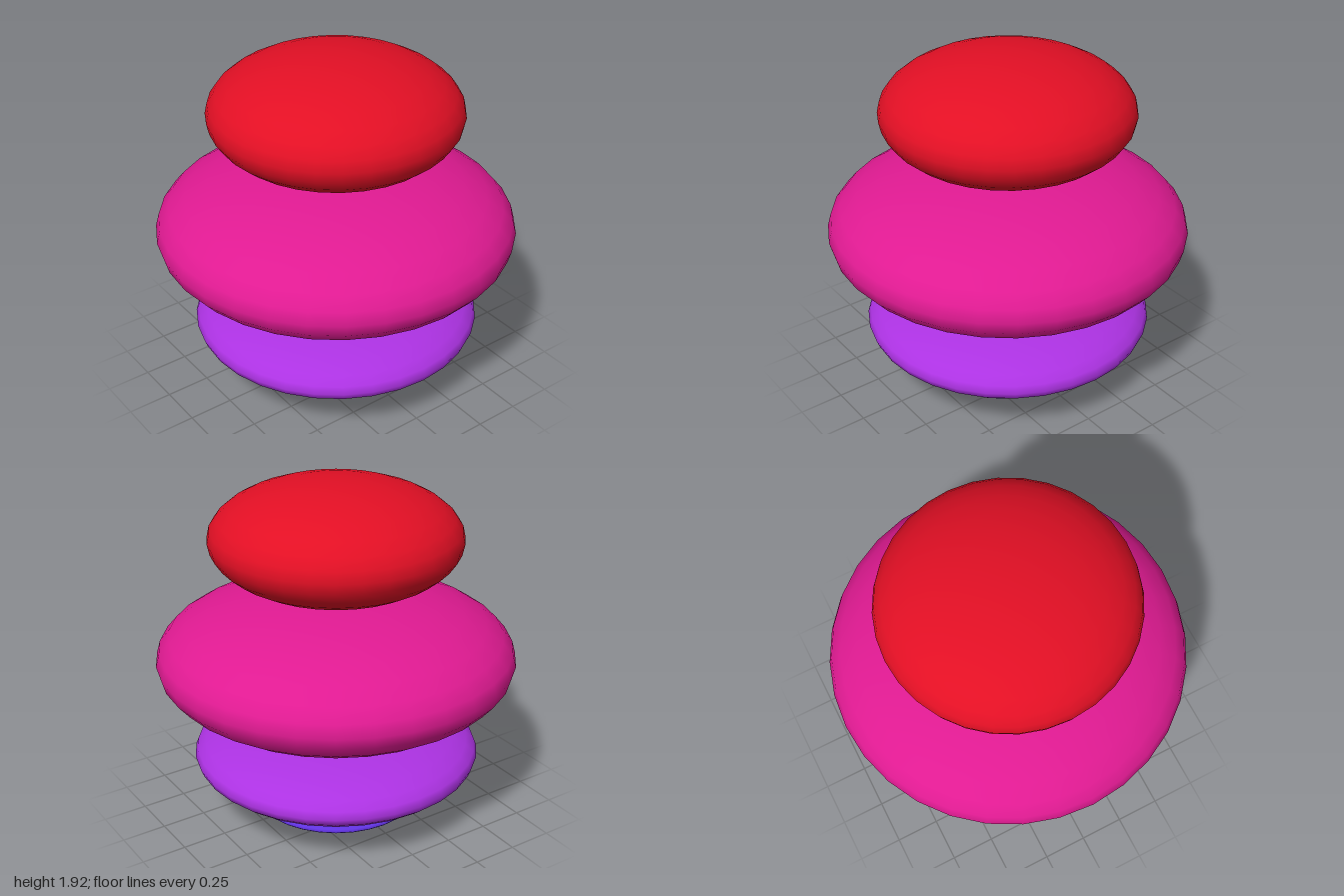
import * as THREE from 'three';

// Stack of floating flattened spheres: name, centre height, radius, half height, color
const LAYERS = [
  ['bottomDisc', 0.058, 0.493, 0.055, 0x6032e0],
  ['lowerEllipsoid', 0.342, 0.81, 0.203, 0xac32e2],
  ['middleEllipsoid', 0.93, 1.0, 0.36, 0xe01a92],
  ['topEllipsoid', 1.615, 0.693, 0.31, 0xe20f24],
];

export function createModel() {
  const group = new THREE.Group();
  group.name = 'ellipsoidStack';

  for (const [name, y, radius, halfHeight, color] of LAYERS) {
    const geometry = new THREE.SphereGeometry(1, 32, 16);
    geometry.scale(radius, halfHeight, radius);
    const mesh = new THREE.Mesh(geometry, new THREE.MeshStandardMaterial({ color }));
    mesh.name = name;
    mesh.position.y = y;
    group.add(mesh);
  }
  return group;
}
